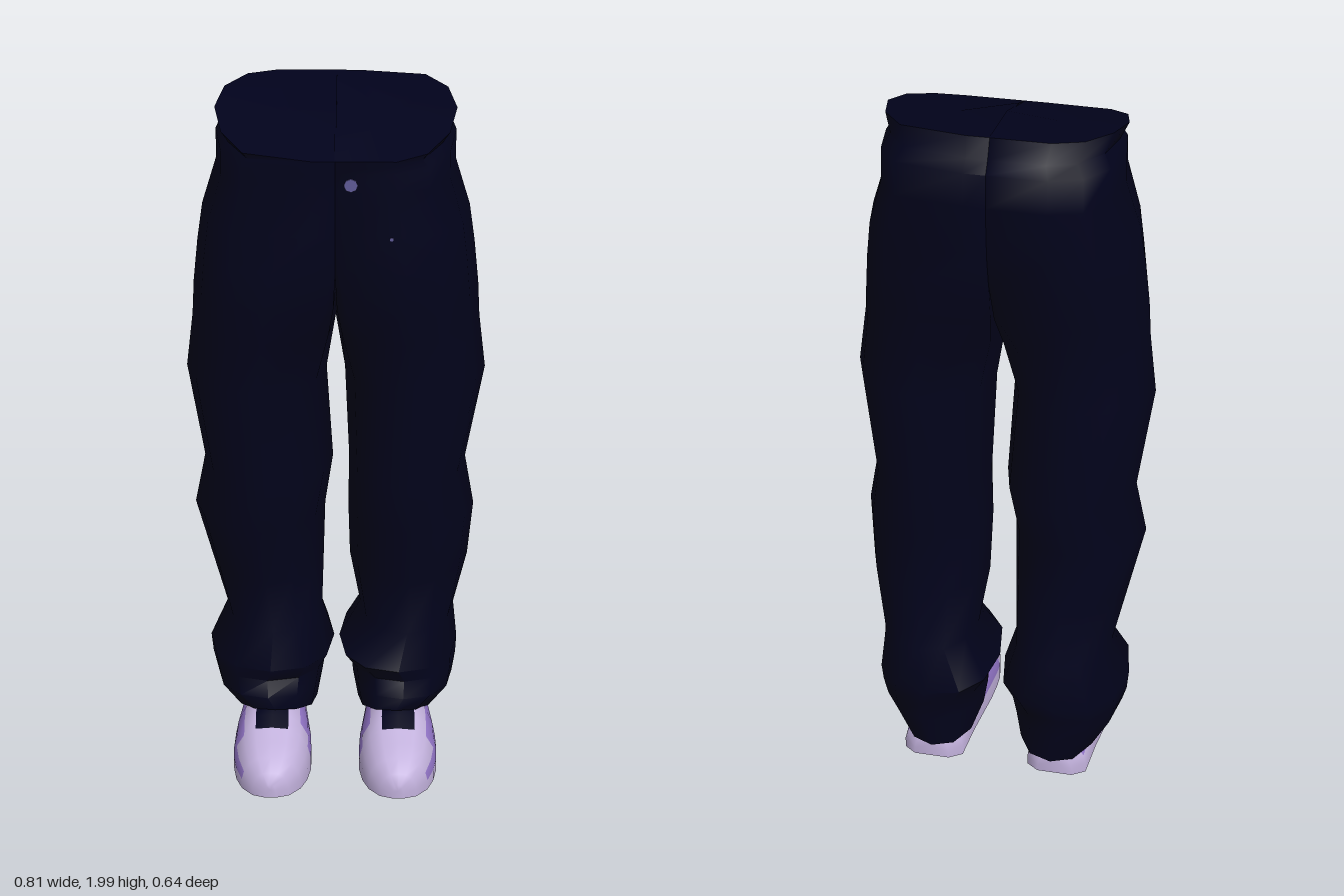
import * as THREE from 'three';
import { toCreasedNormals } from 'three/addons/utils/BufferGeometryUtils.js';

const mat = (name, color) => {
  const m = new THREE.MeshStandardMaterial({ color });
  m.name = name;
  return m;
};

// Skin a list of closed rings (arrays of [x, y, z]) and cap both ends.
// materialOf(row, strip) gives the material group of each quad.
function loft(rings, crease, materialOf = () => 0) {
  const n = rings[0].length;
  const position = rings.flat(2);
  const buckets = [[], [], []];
  for (let i = 0; i < rings.length - 1; i++) {
    for (let j = 0; j < n; j++) {
      const k = (j + 1) % n;
      const a = i * n + j, b = i * n + k, c = b + n, d = a + n;
      buckets[materialOf(i, j)].push(a, b, c, a, c, d);
    }
  }
  [0, rings.length - 1].forEach((row, end) => {
    const center = [0, 1, 2].map((q) => rings[row].reduce((s, p) => s + p[q], 0) / n);
    const m = position.length / 3;
    position.push(...center);
    for (let j = 0; j < n; j++) {
      const a = row * n + j, b = row * n + ((j + 1) % n);
      buckets[0].push(...(end ? [m, a, b] : [m, b, a]));
    }
  });
  const geometry = new THREE.BufferGeometry();
  geometry.setAttribute('position', new THREE.Float32BufferAttribute(position, 3));
  geometry.setIndex(buckets.flat());
  let start = 0;
  buckets.forEach((list, i) => {
    if (list.length) geometry.addGroup(start, list.length, i);
    start += list.length;
  });
  return toCreasedNormals(geometry, crease);
}

// Cloth ring from x0 to x1 whose height runs from yBack to yFront.
// A high power squares off that half (negative or positive x) of the ring.
function clothRing(yBack, yFront, zBack, zFront, x0, x1, powerNeg, powerPos) {
  const sides = 12;
  return Array.from({ length: sides }, (_, i) => {
    const a = (i / sides) * Math.PI * 2;
    const power = Math.cos(a) > 0 ? powerPos : powerNeg;
    const bulge = (v) => Math.sign(v) * Math.abs(v) ** (2 / power);
    const u = bulge(Math.cos(a)), w = bulge(Math.sin(a));
    const y = yBack + (yFront - yBack) * ((1 + w) / 2) ** 2;
    return [(x0 + x1) / 2 + (u * (x1 - x0)) / 2, y, (zBack + zFront) / 2 + (w * (zFront - zBack)) / 2];
  });
}

export function createModel() {
  const group = new THREE.Group();
  const navy = mat('navy cloth', 0x01021b);
  const lavender = mat('lavender leather', 0xc3b2dd);
  const purple = mat('purple leather', 0x9577cb);
  const metal = mat('button metal', 0x5f5a96);

  const add = (name, geometry, material) => {
    const mesh = new THREE.Mesh(geometry, material);
    mesh.name = name;
    group.add(mesh);
    return mesh;
  };

  // Upper trousers, halves meeting at x = 0:
  // yBack, yFront, zBack, zFront, inner x, outer x, inner power, outer power
  const hipRows = [
    [2.0, 1.915, -0.25, 0.165, -0.002, 0.312, 150, 2],
    [1.95, 1.905, -0.275, 0.165, -0.002, 0.292, 150, 2.1],
    [1.92, 1.88, -0.298, 0.163, -0.002, 0.312, 150, 2.2],
    [1.83, 1.83, -0.302, 0.162, -0.002, 0.312, 150, 2.3],
    [1.7, 1.7, -0.292, 0.16, -0.002, 0.352, 150, 2.2],
    [1.6, 1.6, -0.28, 0.16, -0.002, 0.367, 30, 2.1],
    [1.48, 1.48, -0.262, 0.152, -0.002, 0.38, 8, 2],
    [1.38, 1.38, -0.245, 0.135, 0, 0.386, 3, 1.85],
  ];
  // Lower legs: yBack, yFront, zBack, zFront, left inner, outer, right inner, outer, power
  const legRows = [
    [1.22, 1.22, -0.24, 0.115, 0.025, 0.406, 0.025, 0.406, 1.75],
    [0.93, 0.93, -0.28, 0.125, 0.037, 0.36, 0.008, 0.365, 1.75],
    [0.78, 0.78, -0.25, 0.105, 0.035, 0.387, 0.03, 0.395, 1.7],
    [0.6, 0.6, -0.26, 0.075, 0.04, 0.375, 0.035, 0.355, 1.75],
    [0.42, 0.42, -0.285, 0.06, 0.07, 0.34, 0.04, 0.315, 1.9],
    [0.3, 0.32, -0.32, 0.11, 0.01, 0.352, 0.005, 0.365, 2.2],
    [0.24, 0.27, -0.295, 0.085, 0.045, 0.35, 0.03, 0.36, 2.1],
    [0.18, 0.23, -0.29, 0.115, 0.05, 0.34, 0.04, 0.345, 2.1],
    [0.08, 0.19, -0.275, 0.115, 0.065, 0.285, 0.055, 0.29, 2.1],
  ];
  const trouserRings = (side) => [
    ...hipRows,
    ...legRows.map(([yb, yf, zb, zf, li, lo, ri, ro, p]) =>
      [yb, yf, zb, zf, ...(side > 0 ? [li, lo] : [ri, ro]), p + 0.15, p]),
  ].map(([yb, yf, zb, zf, inner, outer, pIn, pOut]) => (side > 0
    ? clothRing(yb, yf, zb, zf, inner, outer, pIn, pOut)
    : clothRing(yb, yf, zb, zf, -outer, -inner, pOut, pIn)));
  add('leftTrouserLeg', loft(trouserRings(1), 1), navy);
  add('rightTrouserLeg', loft(trouserRings(-1), 1), navy);

  // Fly button and pocket rivet
  for (const [name, r, x, y, z] of [['button', 0.018, 0.04, 1.85, 0.161], ['rivet', 0.005, 0.145, 1.7, 0.158]]) {
    const stud = add(name, new THREE.CylinderGeometry(r, r, 0.009, 8), metal);
    stud.rotation.x = Math.PI / 2;
    stud.position.set(x, y, z);
  }

  // Shoes, heel to toe: z, half width, bottom, top
  const shoeRows = [
    [-0.25, 0.05, 0.02, 0.09],
    [-0.22, 0.085, 0.015, 0.12],
    [-0.1, 0.092, 0.012, 0.15],
    [-0.02, 0.1, 0.01, 0.178],
    [0.06, 0.109, 0.01, 0.192],
    [0.12, 0.112, 0.01, 0.178],
    [0.16, 0.111, 0.011, 0.16],
    [0.21, 0.102, 0.013, 0.146],
    [0.26, 0.084, 0.02, 0.128],
    [0.3, 0.052, 0.026, 0.104],
    [0.32, 0.015, 0.033, 0.08],
  ];
  const half = [[1, 0], [1, 0.3], [0.92, 0.55], [0.72, 0.82], [0.42, 0.97]];
  const profile = [...half, [0, 1], ...half.map(([u, v]) => [-u, v]).reverse()];
  // Purple underside and side panels (longer on the outside), dark laces over the instep
  const shoeMaterial = (side) => (row, strip) => {
    if (strip === 10) return 1;
    if ((strip === 4 || strip === 5) && row >= 4 && row < 6) return 2;
    const outside = side > 0 ? strip < 5 : strip > 4;
    const level = Math.min(strip, 9 - strip);
    if (level === 1 && row >= 3 && row < (outside ? 8 : 6)) return 1;
    if (level === 2 && row >= 1 && row < (outside ? 6 : 5)) return 1;
    return 0;
  };
  for (const side of [1, -1]) {
    const rings = shoeRows.map(([z, w, y0, y1]) =>
      profile.map(([u, v]) => [side * 0.181 + u * w, y0 + v * (y1 - y0), z]));
    add(side > 0 ? 'leftShoe' : 'rightShoe', loft(rings, 0.9, shoeMaterial(side)), [lavender, purple, navy]);
  }

  return group;
}
